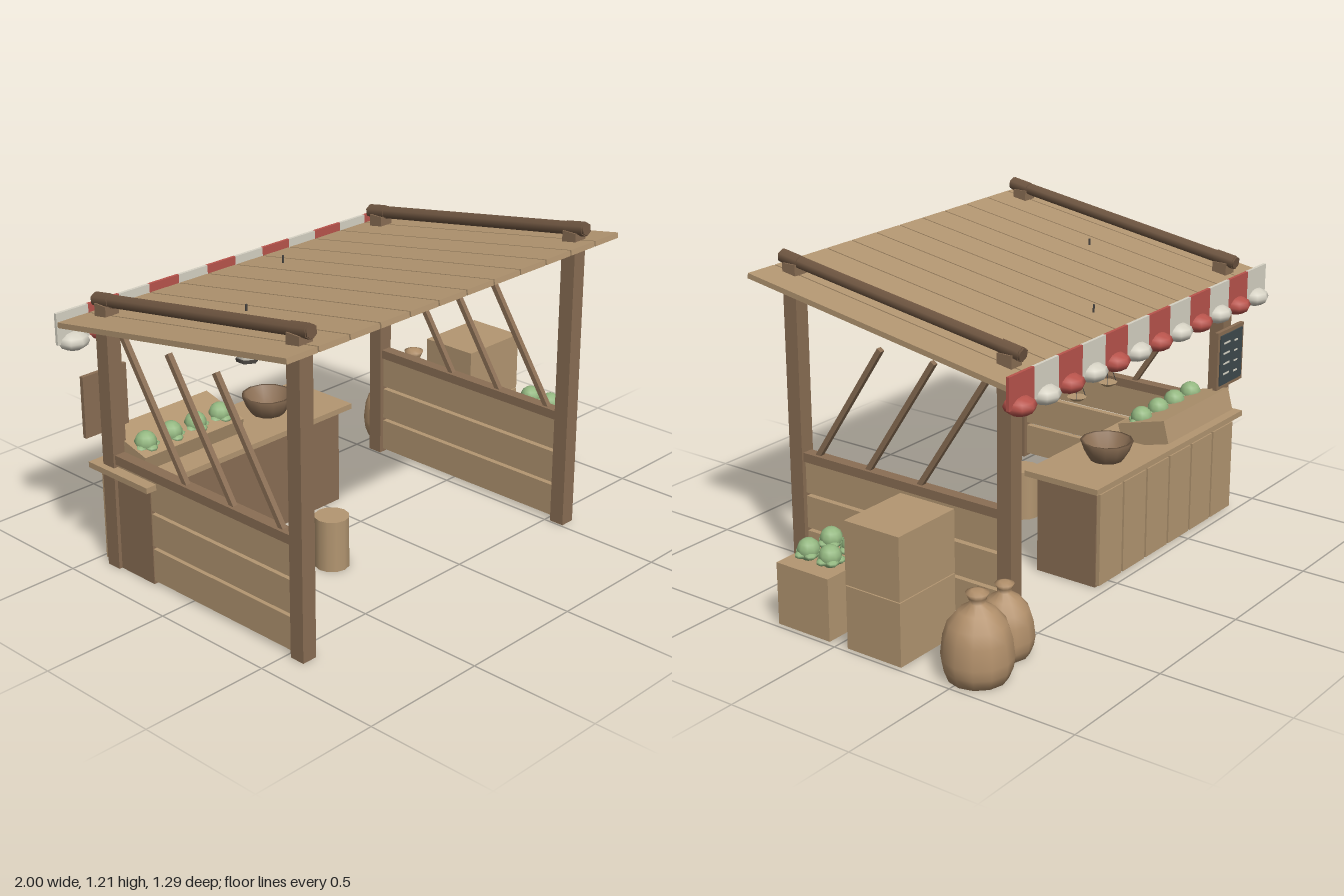
import * as THREE from 'three';

const mat = (name, color, side = THREE.FrontSide) => {
  const m = new THREE.MeshStandardMaterial({ color, side });
  m.name = name;
  return m;
};

export function createModel() {
  const plankTan = mat('plank tan', 0xb39671);
  const timber = mat('timber brown', 0x8a6e54);
  const logBrown = mat('log brown', 0x6f5641);
  const red = mat('awning red', 0xb9544c);
  const cream = mat('awning cream', 0xd6d2c4);
  const green = mat('cabbage green', 0x94b881);
  const burlap = mat('burlap', 0xb2906b, THREE.DoubleSide);
  const iron = mat('iron', 0x4a4642);
  const slate = mat('slate', 0x3f4a4d);

  const model = new THREE.Group();
  model.name = 'marketStall';

  const add = (name, geo, material, x, y, z, rx = 0, parent = model) => {
    const m = new THREE.Mesh(geo, material);
    m.name = name;
    m.position.set(x, y, z);
    m.rotation.x = rx;
    parent.add(m);
    return m;
  };
  const box = (name, material, w, h, d, x, y, z, rx = 0, parent = model) =>
    add(name, new THREE.BoxGeometry(w, h, d), material, x, y, z, rx, parent);
  const group = (name, x = 0, y = 0, z = 0, rx = 0) => {
    const g = new THREE.Group();
    g.name = name;
    g.position.set(x, y, z);
    g.rotation.x = rx;
    model.add(g);
    return g;
  };
  // Thin rod between two points
  const rod = (name, a, b, r, material, parent = model) => {
    const p = new THREE.Vector3(...a), q = new THREE.Vector3(...b);
    const m = add(name, new THREE.CylinderGeometry(r, r, p.distanceTo(q), 6), material, 0, 0, 0, 0, parent);
    m.position.copy(p).lerp(q, 0.5);
    m.quaternion.setFromUnitVectors(new THREE.Vector3(0, 1, 0), q.sub(p).normalize());
    return m;
  };

  // Side frames: posts, plank walls, rail, slanted sticks and roof log
  for (const x of [-0.854, 0.538]) {
    box('frontPost', timber, 0.06, 1.17, 0.06, x, 0.585, 0.55);
    box('backPost', timber, 0.06, 1.02, 0.06, x, 0.51, -0.404);
    for (let i = 0; i < 3; i++) {
      box('wallPlank', plankTan, 0.025, 0.127, 0.9, x, 0.077 + i * 0.14, 0.073);
      box('slantedStick', timber, 0.02, 0.56, 0.02, x, 0.685, 0.308 - i * 0.238, -0.58);
    }
    box('wallRail', timber, 0.045, 0.035, 0.9, x, 0.437, 0.073);
    rod('roofLog', [x, 1.187, 0.606], [x, 1.021, -0.462], 0.025, logBrown);
    rod('logCollar', [x, 1.186, 0.6], [x, 1.173, 0.52], 0.028, logBrown);
    rod('logCollar', [x, 1.035, -0.375], [x, 1.022, -0.455], 0.028, logBrown);
  }

  // Sloped plank roof with striped valance and rounded scallops
  const roof = group('roof', 0, 1.045, 0.07, -0.162);
  const scallop = new THREE.SphereGeometry(1, 8, 6).scale(0.06, 0.035, 0.058);
  for (let i = 0; i < 12; i++) {
    const x = -0.93 + i * 0.1405;
    const cloth = i % 2 ? red : cream;
    box('roofPlank', plankTan, 0.134, 0.02, 1.155, x, 0, 0, 0, roof);
    box('valanceStrip', cloth, 0.1405, 0.118, 0.012, x, 0.935, -0.506);
    add('valanceScallop', scallop, cloth, x, 0.877, -0.504);
  }

  // Counter with upright boards on the customer side
  box('counterBody', timber, 0.95, 0.385, 0.26, -0.395, 0.1925, -0.325);
  box('counterTop', plankTan, 1.03, 0.022, 0.32, -0.395, 0.395, -0.325);
  for (let i = 0; i < 6; i++)
    box('counterBoard', plankTan, 0.147, 0.36, 0.015, -0.791 + i * 0.1584, 0.188, -0.462);

  // Cabbage: round heart with a ring of loose leaves
  const heart = new THREE.SphereGeometry(0.042, 10, 7);
  const leaf = new THREE.SphereGeometry(1, 7, 5).scale(0.024, 0.013, 0.022);
  const cabbage = (x, y, z) => {
    const g = group('cabbage', x, y, z);
    add('heart', heart, green, 0, 0, 0, 0, g);
    for (let i = 0; i < 5; i++) {
      const a = i * Math.PI * 0.4 + 0.3;
      add('leaf', leaf, green, Math.cos(a) * 0.032, -0.014, Math.sin(a) * 0.032, 0, g);
    }
  };

  // Tilted display box
  box('displayBox', plankTan, 0.475, 0.09, 0.21, -0.595, 0.45, -0.371, 0.26);
  for (const x of [-0.773, -0.653, -0.536, -0.417]) cabbage(x, 0.49, -0.325);

  // Bowl on the counter
  const bowl = [[0, 0], [0.063, 0], [0.085, 0.035], [0.1, 0.075], [0.088, 0.075], [0.055, 0.015], [0, 0.015]];
  const lathe = (pts, seg) => new THREE.LatheGeometry(pts.map(p => new THREE.Vector2(...p)), seg);
  add('bowl', lathe(bowl, 12), timber, -0.157, 0.405, -0.34);

  // Stool
  add('stool', new THREE.CylinderGeometry(0.065, 0.065, 0.2, 12), plankTan, -0.32, 0.1, 0.16);

  // Crates
  for (const [y, z] of [[0.121, -0.166], [0.361, -0.166], [0.121, 0.152]])
    box('crate', plankTan, 0.296, 0.236, 0.236, 0.837, y, z);
  for (const x of [0.776, 0.895]) for (const z of [0.1, 0.2]) cabbage(x, 0.276, z);

  // Tied sacks
  const sack = [[0, 0], [0.104, 0], [0.12, 0.04], [0.126, 0.08], [0.118, 0.15], [0.102, 0.2],
    [0.065, 0.245], [0.026, 0.27], [0.032, 0.29], [0.041, 0.308], [0.02, 0.315], [0, 0.315]];
  const sackGeo = lathe(sack, 12);
  add('largeSack', sackGeo, burlap, 0.874, 0, -0.522);
  add('smallSack', sackGeo, burlap, 0.682, 0, -0.49).scale.setScalar(0.84);

  // Slate board with chalk strokes
  box('boardFrame', timber, 0.196, 0.235, 0.016, -0.853, 0.642, -0.445);
  box('boardSlate', slate, 0.165, 0.204, 0.006, -0.853, 0.642, -0.455);
  for (let i = 0; i < 4; i++) {
    box('chalkStroke', cream, 0.045, 0.006, 0.003, -0.815, 0.71 - i * 0.042, -0.459);
    box('chalkStroke', cream, 0.025, 0.006, 0.003, -0.885, 0.704 - i * 0.042, -0.459);
  }

  // Hanging lantern
  const lantern = group('lantern', -0.635, 0, 0.072);
  add('lanternGlass', new THREE.CylinderGeometry(0.036, 0.036, 0.1, 6), cream, 0, 0.935, 0, 0, lantern);
  add('lanternBase', new THREE.CylinderGeometry(0.041, 0.041, 0.012, 6), iron, 0, 0.882, 0, 0, lantern);
  add('lanternCap', new THREE.ConeGeometry(0.048, 0.034, 6), iron, 0, 1.0, 0, 0, lantern);
  rod('lanternWire', [0, 1.0, 0], [0, 1.08, 0], 0.004, iron, lantern);

  // Balance scale
  const scale = group('balanceScale', -0.078, 0, -0.325);
  rod('scaleRod', [0, 0.79, 0], [0, 1.02, 0], 0.004, iron, scale);
  rod('scaleBeam', [-0.1, 0.79, 0], [0.1, 0.79, 0], 0.004, iron, scale);
  for (const x of [-0.1, 0.1]) {
    add('scalePan', new THREE.CylinderGeometry(0.036, 0.018, 0.014, 10), plankTan, x, 0.692, 0, 0, scale);
    for (let i = 0; i < 3; i++) {
      const a = i * Math.PI * 2 / 3 + Math.PI / 2;
      rod('scaleCord', [x, 0.79, 0], [x + Math.cos(a) * 0.034, 0.698, Math.sin(a) * 0.034], 0.0015, iron, scale);
    }
  }

  return model;
}
